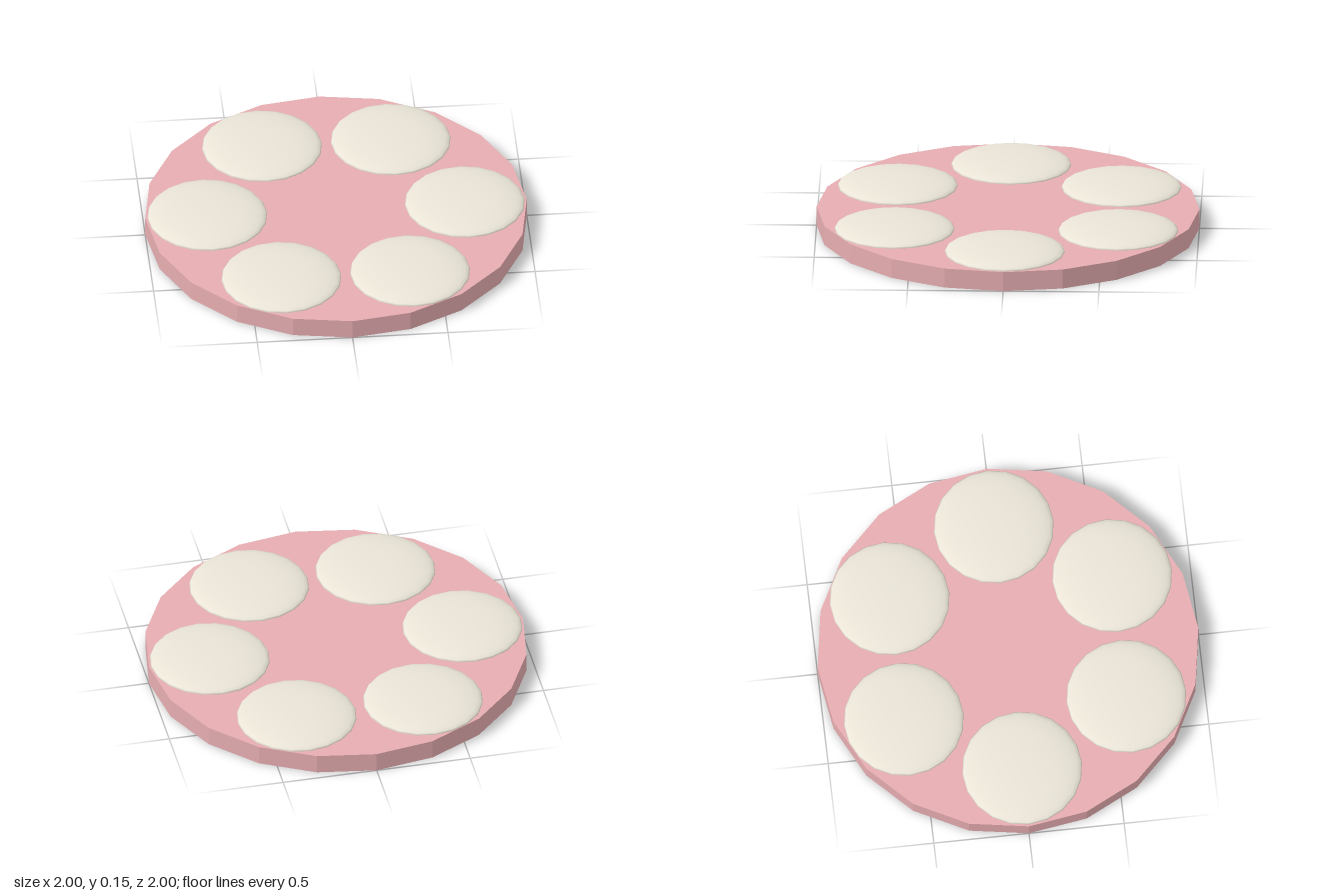
import * as THREE from 'three';

const SIDES = 20;
const BASE_HEIGHT = 0.105;
const DOME_RADIUS = 0.314;
const DOME_HEIGHT = 0.041;
const RING_RADIUS = 0.675;
const DOME_COUNT = 6;

export function createModel() {
  const model = new THREE.Group();
  model.name = 'domedDisc';

  // Faceted round base
  const base = new THREE.Mesh(
    new THREE.CylinderGeometry(1, 1, BASE_HEIGHT, SIDES),
    new THREE.MeshStandardMaterial({ color: 0xe6adb1, flatShading: true })
  );
  base.name = 'base';
  base.position.y = BASE_HEIGHT / 2;
  model.add(base);

  // Ring of smooth, shallow domes resting on the base
  const domeGeometry = new THREE.SphereGeometry(1, SIDES, 8, 0, Math.PI * 2, 0, Math.PI / 2);
  domeGeometry.scale(DOME_RADIUS, DOME_HEIGHT, DOME_RADIUS);
  const domeMaterial = new THREE.MeshStandardMaterial({ color: 0xe9e4d6 });
  for (let i = 0; i < DOME_COUNT; i++) {
    const angle = (i / DOME_COUNT) * Math.PI * 2;
    const dome = new THREE.Mesh(domeGeometry, domeMaterial);
    dome.name = `dome${i + 1}`;
    dome.position.set(Math.cos(angle) * RING_RADIUS, BASE_HEIGHT, Math.sin(angle) * RING_RADIUS);
    model.add(dome);
  }

  return model;
}
